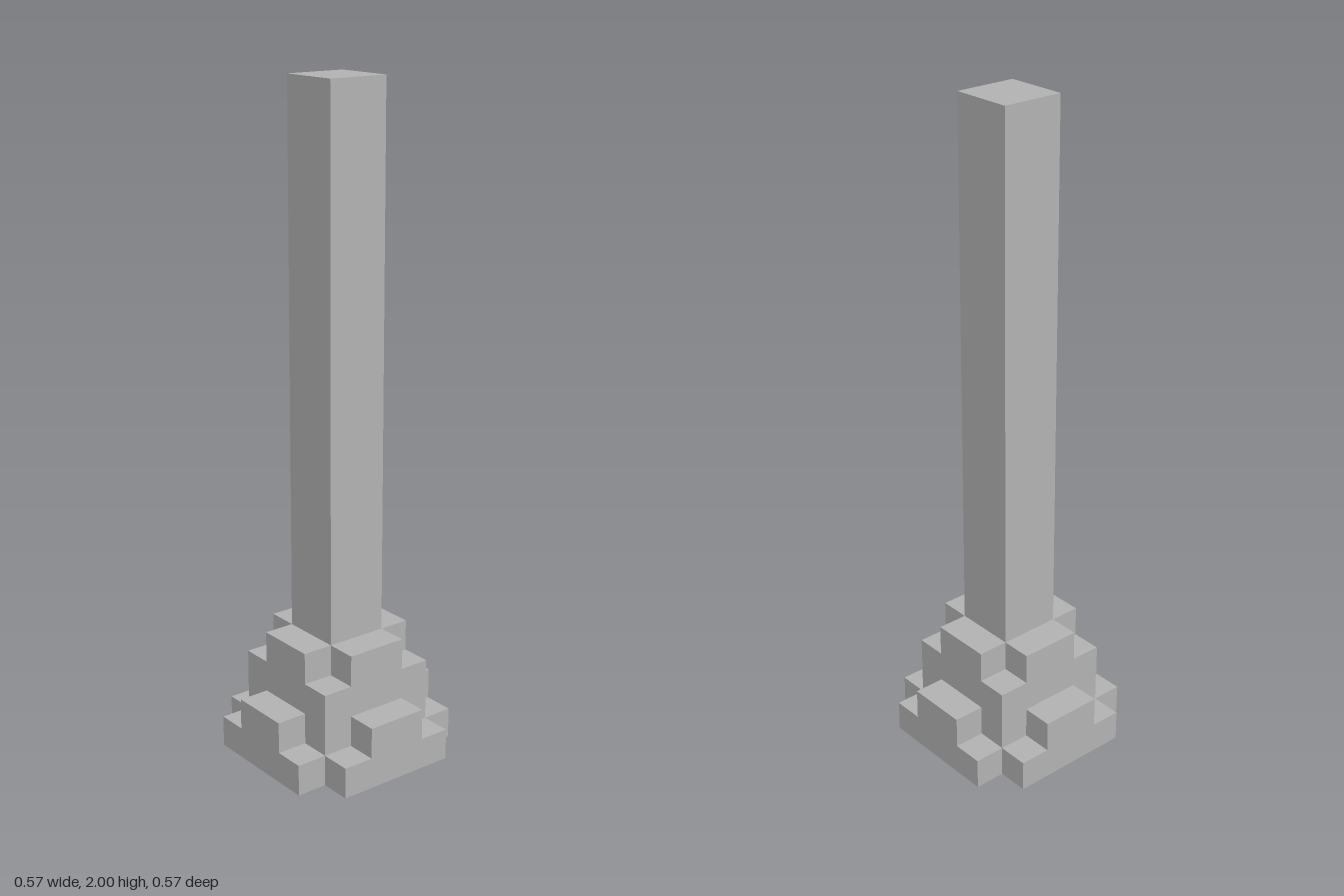
import * as THREE from 'three';

const U = 2 / 21; // block size: the model is 21 blocks tall

// Repeats one corner of an outline four times around the vertical axis.
function fourfoldShape(corner) {
  const points = [];
  for (let i = 0; i < 4; i++) {
    for (const [x, y] of corner) {
      points.push(new THREE.Vector2(x * U, y * U).rotateAround(new THREE.Vector2(), i * Math.PI / 2));
    }
  }
  return new THREE.Shape(points);
}

export function createModel() {
  const model = new THREE.Group();
  model.name = 'steppedPillar';
  const stone = new THREE.MeshStandardMaterial({ color: 0xb2b2b2 });
  stone.name = 'stoneGrey';

  // Name, bottom and top in blocks, and one corner of the outline
  const tiers = [
    ['footCross', 0, 1, [[3, 2], [2, 2], [2, 3]]],
    ['footArms', 1, 2, [[3, 1], [2, 1], [2, 2], [1, 2], [1, 3]]],
    ['baseBlock', 2, 3, [[2, 2]]],
    ['collarCross', 3, 4, [[2, 1], [1, 1], [1, 2]]],
    ['shaft', 4, 21, [[1, 1]]],
  ];

  for (const [name, bottom, top, corner] of tiers) {
    const geometry = new THREE.ExtrudeGeometry(fourfoldShape(corner), {
      depth: (top - bottom) * U,
      bevelEnabled: false,
    });
    geometry.rotateX(-Math.PI / 2);
    const mesh = new THREE.Mesh(geometry, stone);
    mesh.name = name;
    mesh.position.y = bottom * U;
    model.add(mesh);
  }
  return model;
}
